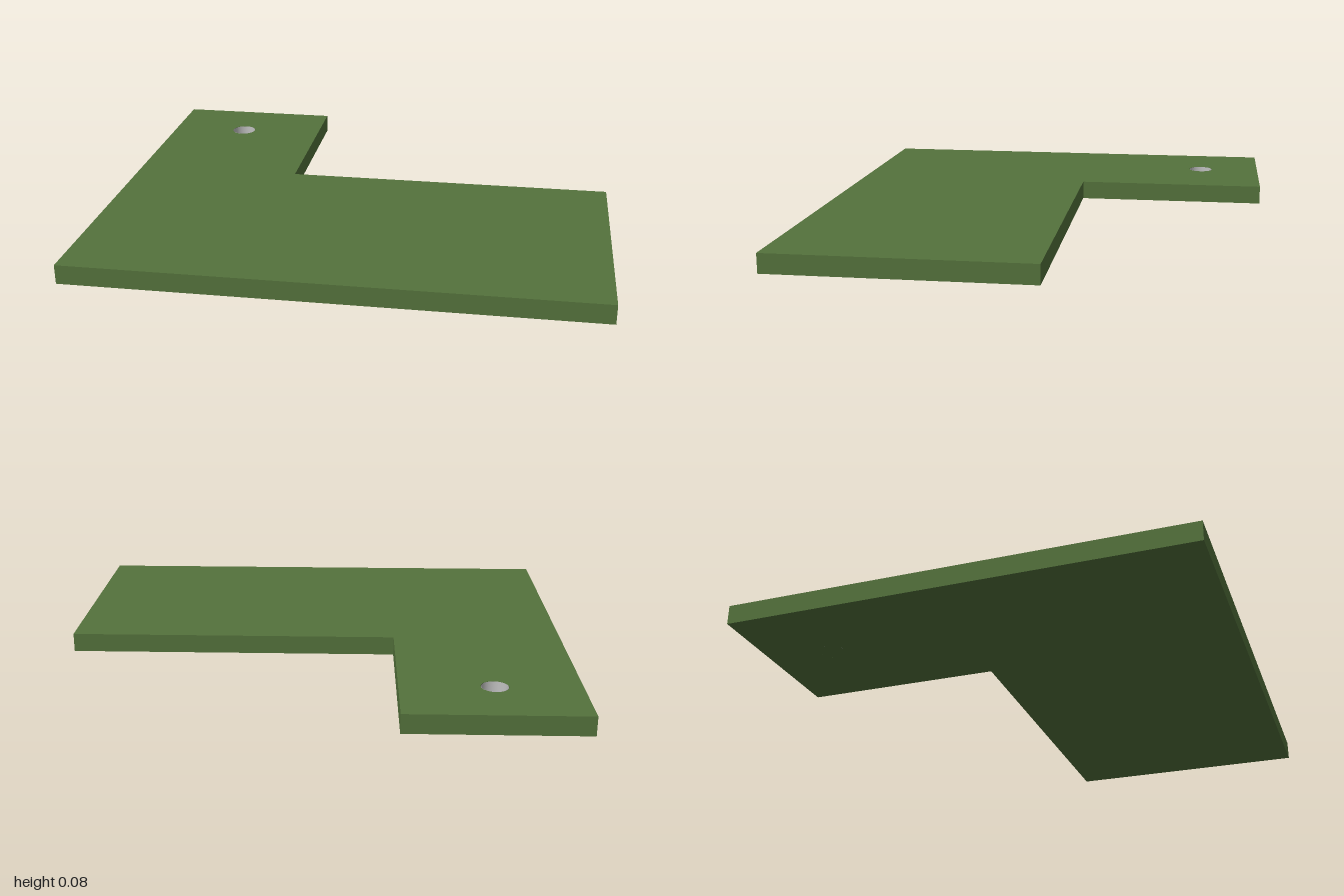
import * as THREE from 'three';

export function createModel() {
  const model = new THREE.Group();
  model.name = 'cornerSlab';

  const green = new THREE.MeshStandardMaterial({ color: 0x54723c });
  green.name = 'moss green';
  const grey = new THREE.MeshStandardMaterial({ color: 0xc0c0c0, side: THREE.DoubleSide });
  grey.name = 'light grey';

  const height = 0.075, depth = 0.05, radius = 0.052, sides = 32;
  const holeX = -0.675, holeZ = -0.625;

  const add = (name, geometry, material, x = 0, y = 0, z = 0) => {
    const mesh = new THREE.Mesh(geometry, material);
    mesh.name = name;
    mesh.position.set(x, y, z);
    model.add(mesh);
  };

  // L-shaped slab outline, drawn as (x, -z), with a round hole in the narrow arm
  const outline = new THREE.Shape([
    [-1, -0.885], [1, -0.885], [1, 0.11], [-0.32, 0.11], [-0.32, 0.885], [-1, 0.885],
  ].map(([x, y]) => new THREE.Vector2(x, y)));
  outline.holes.push(new THREE.Path().absarc(holeX, -holeZ, radius, 0, Math.PI * 2, true));
  const slab = new THREE.ExtrudeGeometry(outline, {
    depth: height, bevelEnabled: false, curveSegments: sides,
  });
  add('slab', slab.rotateX(-Math.PI / 2), green);

  // Underside is closed, so the hole is a blind pocket
  add('undersidePlug', new THREE.CircleGeometry(radius, sides).rotateX(Math.PI / 2), green, holeX, 0, holeZ);

  // Grey lining and floor of the pocket
  add('pocketWall', new THREE.CylinderGeometry(radius - 0.001, radius - 0.001, depth, sides, 1, true),
    grey, holeX, height - depth / 2, holeZ);
  add('pocketFloor', new THREE.CircleGeometry(radius, sides).rotateX(-Math.PI / 2),
    grey, holeX, height - depth, holeZ);

  return model;
}
